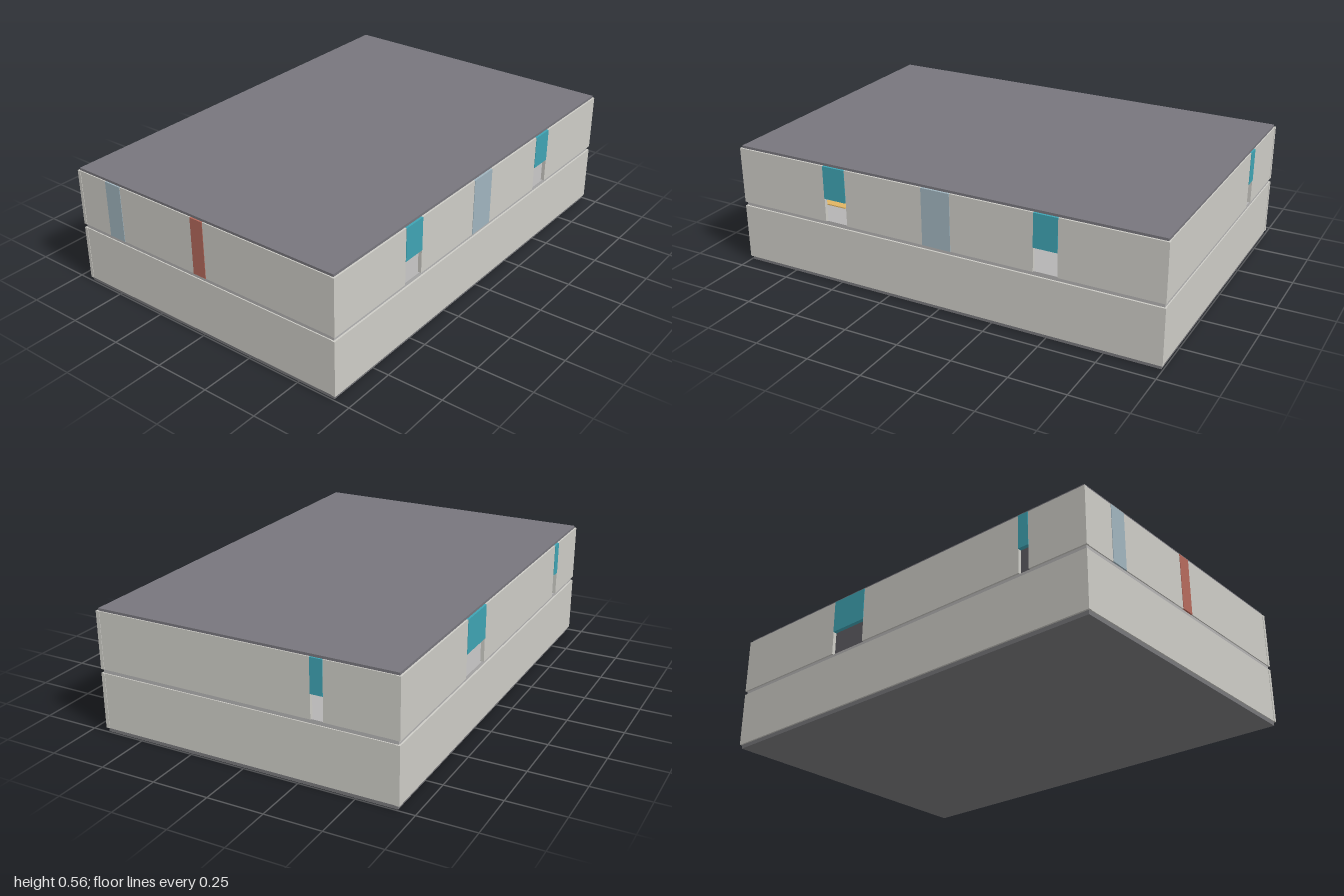
import * as THREE from 'three';

const HX = 1, HZ = 0.684, T = 0.016; // half length, half depth, wall thickness
const mat = (color) => new THREE.MeshStandardMaterial({ color });
const M = {
  wall: mat(0xcdccc6), roof: mat(0x78767d), base: mat(0x77777a), slab: mat(0xb4b3b3),
  teal: mat(0x3fa3b3), blue: mat(0xa0b4be), red: mat(0xb56a5c),
  partition: mat(0x8a8c83), mark: mat(0xe0b463),
};

// Box given by its limits on each axis
function box(parent, name, material, [x0, x1], [y0, y1], [z0, z1]) {
  const mesh = new THREE.Mesh(new THREE.BoxGeometry(x1 - x0, y1 - y0, z1 - z0), material);
  mesh.position.set((x0 + x1) / 2, (y0 + y1) / 2, (z0 + z1) / 2);
  mesh.name = name;
  parent.add(mesh);
  return mesh;
}

// One storey side: wall pieces between the bays; local x runs along the wall, z points outward
function side(name, turn, half, dist, y0, y1, bays = []) {
  const g = new THREE.Group();
  g.name = name;
  g.rotation.y = turn;
  const depth = [dist - T, dist], proud = [dist - T, dist + 0.002];
  let from = -half;
  for (const [a, b, kind] of bays) {
    box(g, 'wallPiece', M.wall, [from, a], [y0, y1], depth);
    if (kind === 'door') box(g, 'doorLintel', M.teal, [a, b], [0.395, y1], proud);
    else box(g, kind + 'Panel', M[kind], [a, b], [y0, y1], proud);
    from = b;
  }
  box(g, 'wallPiece', M.wall, [from, half], [y0, y1], depth);
  return g;
}

function storey(name, y0, y1, bays) {
  const g = new THREE.Group();
  g.name = name;
  g.add(
    side('frontWall', 0, HX, HZ, y0, y1, bays.front),
    side('backWall', Math.PI, HX, HZ, y0, y1, bays.back),
    side('leftWall', Math.PI / 2, HZ - T, HX - 0.002, y0, y1, bays.left),
    side('rightWall', -Math.PI / 2, HZ - T, HX - 0.002, y0, y1, bays.right),
  );
  return g;
}

export function createModel() {
  const model = new THREE.Group();
  model.name = 'building';

  // Floor slabs and roof, set slightly inside the wall faces
  const sx = [-0.993, 0.993], sz = [-0.676, 0.676];
  box(model, 'baseSlab', M.base, sx, [0, 0.018], sz);
  box(model, 'middleSlab', M.slab, sx, [0.27, 0.288], sz);
  box(model, 'roofSlab', M.roof, sx, [0.545, 0.556], sz);

  // Storeys
  model.add(storey('lowerStorey', 0.018, 0.27, {}));
  model.add(storey('upperStorey', 0.288, 0.545, {
    front: [[-0.555, -0.445, 'door'], [-0.067, 0.067, 'blue'], [0.443, 0.55, 'door']],
    back: [[-0.39, -0.2, 'door'], [0.675, 0.725, 'door']],
    left: [[0.31, 0.365, 'door']],
    right: [[-0.515, -0.43, 'blue'], [-0.03, 0.035, 'red']],
  }));

  // Inner partitions and low floor blocks behind the openings
  for (const [a, b] of [[-0.75, -0.475], [0.467, 0.75]])
    box(model, 'partition', M.partition, [a, b], [0.288, 0.5], [0.28, 0.3]);
  box(model, 'floorBlock', M.mark, [-0.68, -0.56], [0.288, 0.293], [0.47, 0.54]);
  box(model, 'floorBlock', M.mark, [-0.66, -0.58], [0.288, 0.293], [-0.58, -0.54]);
  return model;
}
